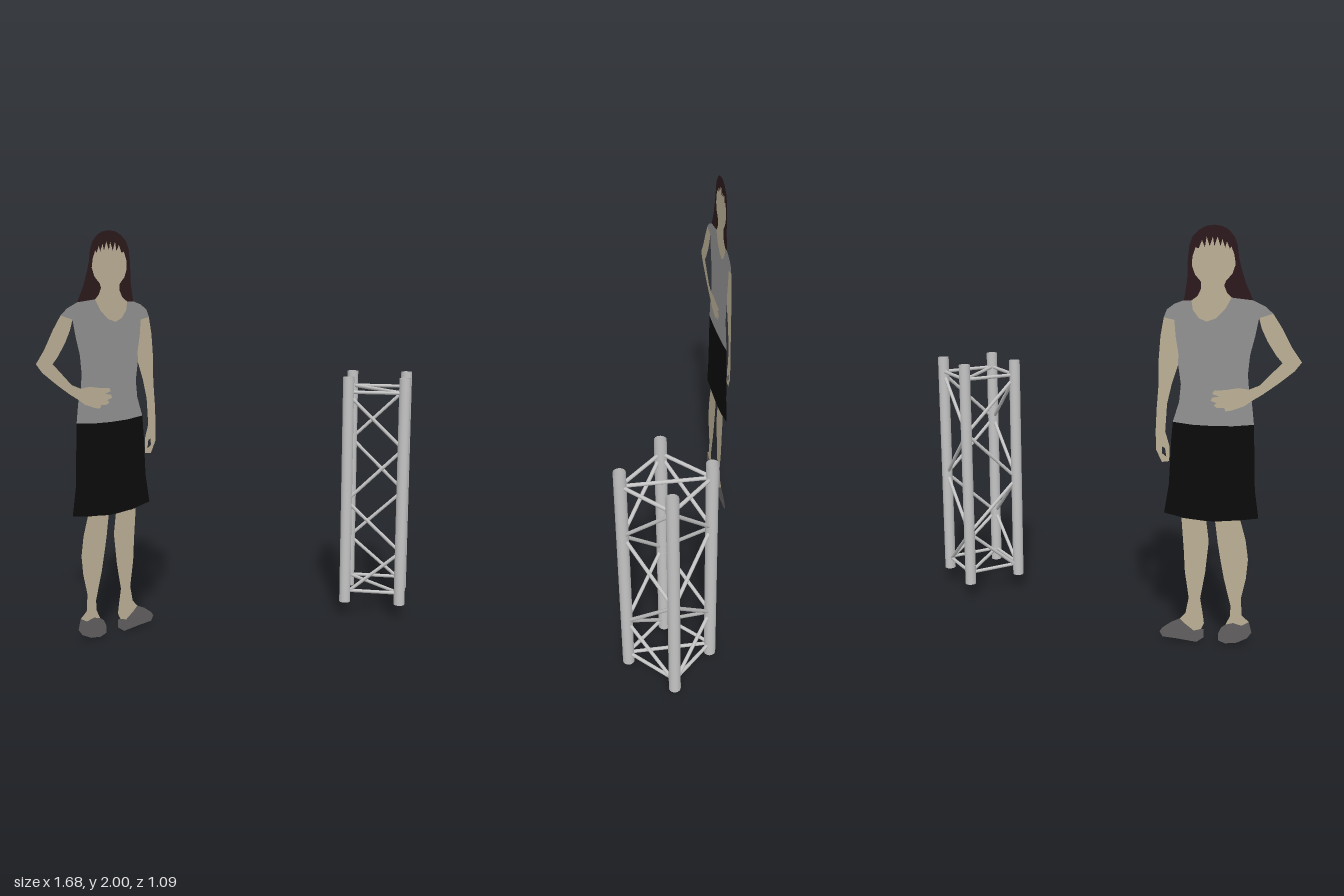
import * as THREE from 'three';

const mat = (name, color, side = THREE.DoubleSide) => {
  const m = new THREE.MeshStandardMaterial({ color, side });
  m.name = name;
  return m;
};

// Flat standing figure, drawn on a 189-per-unit sheet (y down), cut from one thin plane
const SHEET = 189, AXIS = 642, GROUND = 413, STRETCH = 1.312;
const toPoints = (a) => {
  const pts = [];
  for (let i = 0; i < a.length; i += 2)
    pts.push(new THREE.Vector2((a[i] - AXIS) / SHEET * STRETCH, (GROUND - a[i + 1]) / SHEET));
  return pts;
};
function cutout(name, outline, material, hole) {
  const shape = new THREE.Shape(toPoints(outline));
  if (hole) shape.holes.push(new THREE.Path(toPoints(hole)));
  const mesh = new THREE.Mesh(new THREE.ShapeGeometry(shape), material);
  mesh.name = name;
  return mesh;
}
const reversed = (a) => {
  const out = [];
  for (let i = a.length - 2; i >= 0; i -= 2) out.push(a[i], a[i + 1]);
  return out;
};

function buildFigure() {
  const skin = mat('skin', 0xbcb096), hair = mat('hair', 0x2c191c);
  const shirt = mat('shirt', 0x929292), skirt = mat('skirt', 0x0b0b0b), shoe = mat('shoe', 0x625f5f);
  const figure = new THREE.Group();
  figure.name = 'figure';

  // Shared edges, so neighbouring pieces meet without overlapping
  const faceEdge = [630, 96, 633, 92, 635, 86, 634, 82, 630, 76, 628, 68, 629, 60, 631, 53, 632, 55, 634, 49,
    635, 54, 637, 47, 638, 53, 640, 45, 642, 53, 643, 45, 645, 53, 647, 45, 648, 54, 650, 48, 652, 55,
    654, 54, 656, 62, 656, 70, 654, 77, 650, 83, 650, 89, 652, 95, 656, 99];
  const neckline = [656, 99, 655, 107, 651, 114, 646, 117, 640, 114, 634, 106, 630, 96];
  const handEdge = [617, 175, 624, 174, 632, 176, 640, 177, 641, 180, 636, 182, 641, 183, 642, 186,
    638, 188, 640, 190, 638, 192, 633, 192, 632, 195, 628, 194, 620, 190, 615, 185];
  const armSeam = [667, 116, 666, 130, 664, 145, 664, 155];
  const shirtHem = [613, 206, 627, 208, 640, 208.5, 654, 208, 667, 206];

  figure.add(cutout('faceAndNeck', [...faceEdge, ...neckline.slice(2, -2)], skin));
  figure.add(cutout('hair', [616, 98, 621, 84, 624, 72, 626, 62, 627, 52, 629, 45, 633, 39, 637, 36.3, 642, 35.2,
    647, 36, 652, 39.5, 656, 45, 658, 52, 659, 66, 659, 80, 660, 91, 661, 99, ...reversed(faceEdge)], hair));
  figure.add(cutout('shirt', [616, 98, ...reversed(neckline), 661, 99, 667, 102, 672, 107, 674, 114,
    ...armSeam, 662, 172, 663, 188, 667, 206, ...reversed(shirtHem).slice(2), 614, 195,
    ...reversed(handEdge), 618, 162, 617, 145, 614, 128, 612, 113, 603, 109, 608, 103], shirt));
  figure.add(cutout('bentArm', [603, 109, 597, 121, 590, 138, 583.5, 150, 588, 158, 598, 169, 608, 179,
    ...reversed(handEdge), 610, 171, 603, 161, 596, 151, 600, 145, 606, 133, 610, 122, 612, 113], skin));
  figure.add(cutout('straightArm', [674, 114, 676, 130, 677, 150, 677, 175, 678, 195, 678.5, 215, 678, 232,
    674, 243, 669, 242, 669, 228, 672, 215, 671, 190, 668, 172, ...reversed(armSeam)], skin,
  [671, 238, 674, 235, 674, 229, 672, 230]));
  figure.add(cutout('skirt', [...shirtHem, 668, 225, 669, 263, 672, 290, 655, 295, 638, 296, 622, 294,
    608, 291, 611, 265, 612, 235], skirt));

  // Legs and slip-on shoes
  figure.add(cutout('rightLeg', [620, 293.5, 616, 312, 614, 330, 615, 348, 618, 368, 617, 384, 612, 390,
    617, 394, 623, 392, 628, 394, 625, 385, 625, 375, 630, 350, 633, 330, 635, 315, 637, 296], skin));
  figure.add(cutout('leftLeg', [643, 296, 641, 315, 643, 345, 646, 370, 644, 385, 643, 394, 645, 400,
    650, 402, 656, 396, 660, 391, 656, 385, 654, 370, 657, 345, 658, 325, 660, 294], skin));
  figure.add(cutout('rightShoe', [612, 390, 617, 394, 623, 392, 628, 394, 631, 397, 633, 403, 633, 410,
    628, 412.5, 620, 411, 613, 406, 610, 400], shoe));
  figure.add(cutout('leftShoe', [643, 400, 645, 400, 650, 402, 656, 396, 660, 391, 666, 395, 672, 401,
    674, 405, 672, 410, 662, 411, 648, 413, 643, 408], shoe));

  figure.position.set(-0.58, 0, 0.235);
  figure.rotation.y = 0.867;
  return figure;
}

function buildTruss() {
  const metal = mat('metal', 0xc4c4c4);
  const truss = new THREE.Group();
  truss.name = 'truss';
  const H = 0.142, TOP = 1.193, BOTTOM = 0.14;

  // Open tube between two points
  const tube = (name, a, b, radius, sides) => {
    const dir = b.clone().sub(a);
    const mesh = new THREE.Mesh(new THREE.CylinderGeometry(radius, radius, dir.length(), sides, 1, true), metal);
    mesh.name = name;
    mesh.position.copy(a).add(b).multiplyScalar(0.5);
    mesh.quaternion.setFromUnitVectors(new THREE.Vector3(0, 1, 0), dir.normalize());
    truss.add(mesh);
  };
  // Corners in order: front left side, front right side, back right side, back left side
  const corners = [[-H, H], [H, H], [H, -H], [-H, -H]];
  const at = (i, y) => new THREE.Vector3(corners[i % 4][0], y, corners[i % 4][1]);
  const nodes = [1.18, 0.905, 0.625, 0.36, 0.12];

  for (let i = 0; i < 4; i++) {
    tube('chord', at(i, 0.08), at(i, 1.27), 0.0285, 20);
    for (const y of [TOP, BOTTOM]) tube('crossbar', at(i, y), at(i + 1, y), 0.009, 10);
    // Zigzag bracing: even nodes sit on corners 0 and 2, odd nodes on 1 and 3
    const even = i % 2 === 0 ? i : i + 1, odd = i % 2 === 0 ? i + 1 : i;
    for (let k = 0; k < 4; k++)
      tube('brace', at(k % 2 ? odd : even, nodes[k]), at(k % 2 ? even : odd, nodes[k + 1]), 0.009, 10);
  }
  for (const y of [TOP, BOTTOM]) tube('planDiagonal', at(3, y), at(1, y), 0.009, 10);

  truss.position.set(0.67, 0, -0.372);
  return truss;
}

export function createModel() {
  const model = new THREE.Group();
  model.name = 'trussWithScaleFigure';
  model.add(buildFigure(), buildTruss());
  return model;
}
